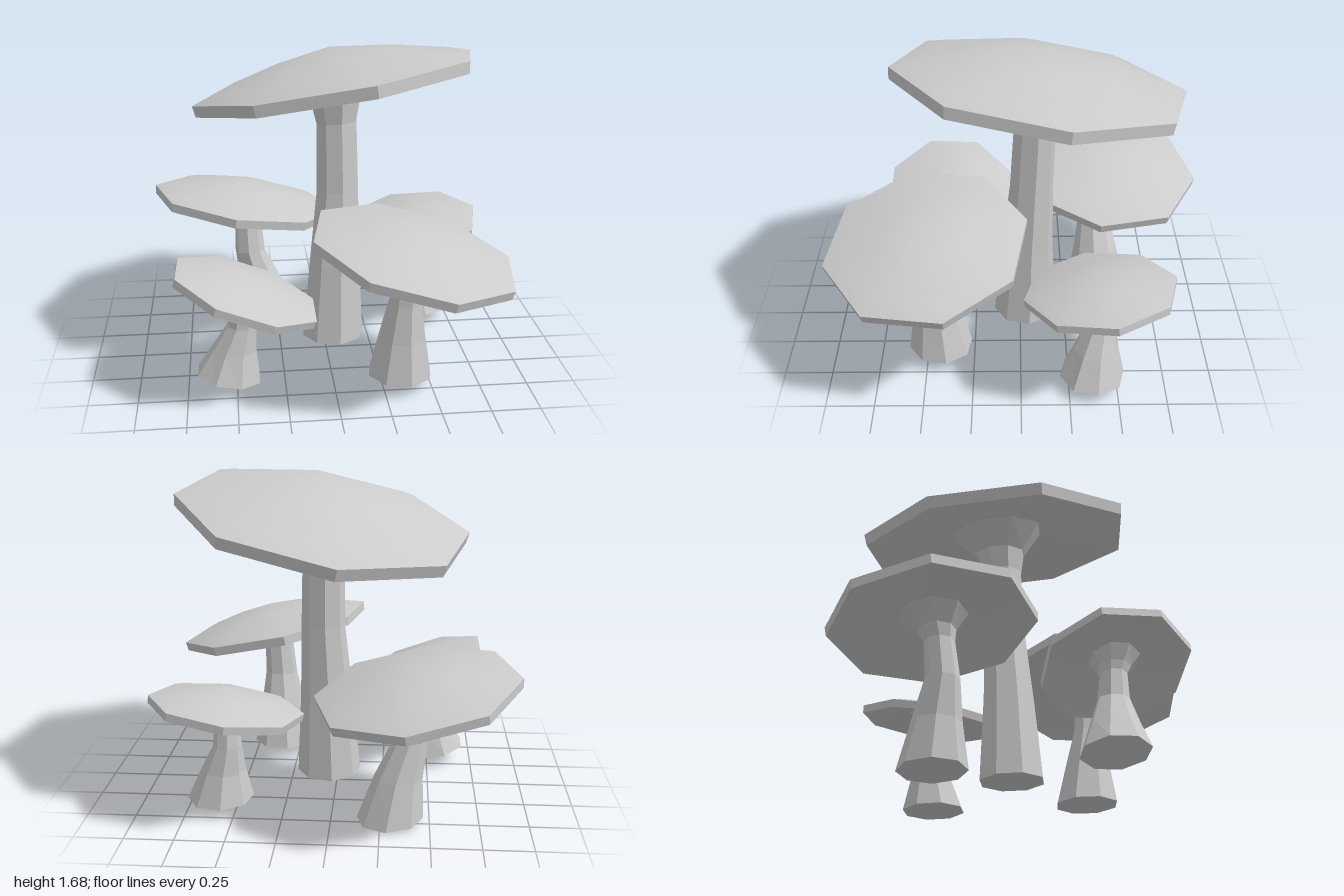
import * as THREE from 'three';
import { toCreasedNormals } from 'three/addons/utils/BufferGeometryUtils.js';

const SIDES = 8;
const FOOT_RADIUS = 0.17;
const { lerp } = THREE.MathUtils;

// Lathe an eight-sided profile with its first corner at the given angle, then move each vertex by a rule
function turned(profile, angle, rule) {
  const points = profile.map(([r, h]) => new THREE.Vector2(r, h));
  const geo = new THREE.LatheGeometry(points, SIDES, Math.PI / 2 - angle);
  const pos = geo.attributes.position;
  const v = new THREE.Vector3();
  for (let i = 0; i < pos.count; i++) {
    rule(v.fromBufferAttribute(pos, i));
    pos.setXYZ(i, v.x, v.y, v.z);
  }
  geo.computeVertexNormals();
  return geo;
}

// Shallow domed cap with a sharp rim and a hollow underside, leaning by its slopes in x and z
function makeCap({ center: [cx, cy, cz], radius: R, slope: [sx, sz], angle }) {
  const H = 0.21 * R;
  const rim = 0.02 + 0.052 * R;
  const profile = [
    [0, 0.3 * H], [0.4 * R, 0.15 * H], [0.93 * R, -0.8 * rim], [0.99 * R, -rim],
    [R, 0], [0.85 * R, 0.22 * H], [0.45 * R, 0.67 * H], [0, H],
  ];
  const geo = turned(profile, angle, (v) => {
    const h = v.y;
    v.set(cx + v.x - sx * h, cy + h + sx * v.x + sz * v.z, cz + v.z - sz * h);
  });
  const mesh = new THREE.Mesh(toCreasedNormals(geo, 0.5),
    new THREE.MeshStandardMaterial({ color: 0xcccccc }));
  mesh.name = 'cap';
  return mesh;
}

// Stem that narrows from the foot, bends at the knee and flares out under the cap
function makeStem({ center: [cx, cy, cz], radius: R, slope, angle, foot, footLean, knee, neck }) {
  const top = cy + 0.05 * R;
  const ring = (t, r, toKnee, toCap, [sx, sz]) => ({
    r, sx, sz,
    x: lerp(lerp(foot[0], knee[0], toKnee), cx, toCap),
    y: lerp(foot[1], top, t),
    z: lerp(lerp(foot[2], knee[1], toKnee), cz, toCap),
  });
  const half = slope.map((s) => s / 2);
  const rings = [
    ring(0, FOOT_RADIUS, 0, 0, [footLean, 0.025]),
    ring(0.3, lerp(FOOT_RADIUS, neck, 0.5), 0.4, 0, [0, 0]),
    ring(0.57, lerp(FOOT_RADIUS, neck, 0.9), 1, 0, [0, 0]),
    ring(0.82, neck, 1, 0.35, half),
    ring(0.9, 1.25 * neck, 1, 0.6, half),
    ring(1, 0.35 * R, 1, 1, slope),
  ];
  const profile = [[0, 0], ...rings.map(({ r }, i) => [r, i])];
  const geo = turned(profile, angle, (v) => {
    const { x, y, z, sx, sz } = rings[Math.round(v.y)];
    v.set(x + v.x, y + sx * v.x + sz * v.z, z + v.z);
  });
  const mesh = new THREE.Mesh(geo,
    new THREE.MeshStandardMaterial({ color: 0xcccccc, flatShading: true }));
  mesh.name = 'stem';
  return mesh;
}

function makeMushroom(name, spec) {
  const mushroom = new THREE.Group();
  mushroom.name = name;
  mushroom.add(makeStem(spec), makeCap(spec));
  return mushroom;
}

export function createModel() {
  const model = new THREE.Group();
  model.name = 'mushroomCluster';

  // Tall mushroom in the middle
  model.add(makeMushroom('tallMushroom', {
    center: [0.055, 1.51, -0.11], radius: 0.745, slope: [0.168, 0.14], angle: -0.15,
    foot: [0.04, 0.085, -0.025], footLean: 0, knee: [0.067, -0.06], neck: 0.108,
  }));

  // Four short ones around it
  model.add(makeMushroom('frontLeftMushroom', {
    center: [0.39, 0.772, 0.475], radius: 0.52, slope: [-0.22, -0.077], angle: -0.21,
    foot: [0.34, 0.07, 0.43], footLean: -0.02, knee: [0.355, 0.458], neck: 0.08,
  }));
  model.add(makeMushroom('frontRightMushroom', {
    center: [-0.44, 0.56, 0.4], radius: 0.37, slope: [-0.37, 0.02], angle: 0.41,
    foot: [-0.54, 0.068, 0.36], footLean: -0.18, knee: [-0.465, 0.38], neck: 0.068,
  }));
  model.add(makeMushroom('backRightMushroom', {
    center: [-0.42, 0.73, -0.49], radius: 0.51, slope: [-0.16, 0.09], angle: 0.11,
    foot: [-0.3, 0.016, -0.455], footLean: -0.07, knee: [-0.4, -0.43], neck: 0.075,
  }));
  model.add(makeMushroom('backLeftMushroom', {
    center: [0.53, 0.585, -0.4], radius: 0.39, slope: [0.145, -0.1], angle: -0.14,
    foot: [0.58, 0.065, -0.37], footLean: -0.02, knee: [0.53, -0.415], neck: 0.062,
  }));
  return model;
}
